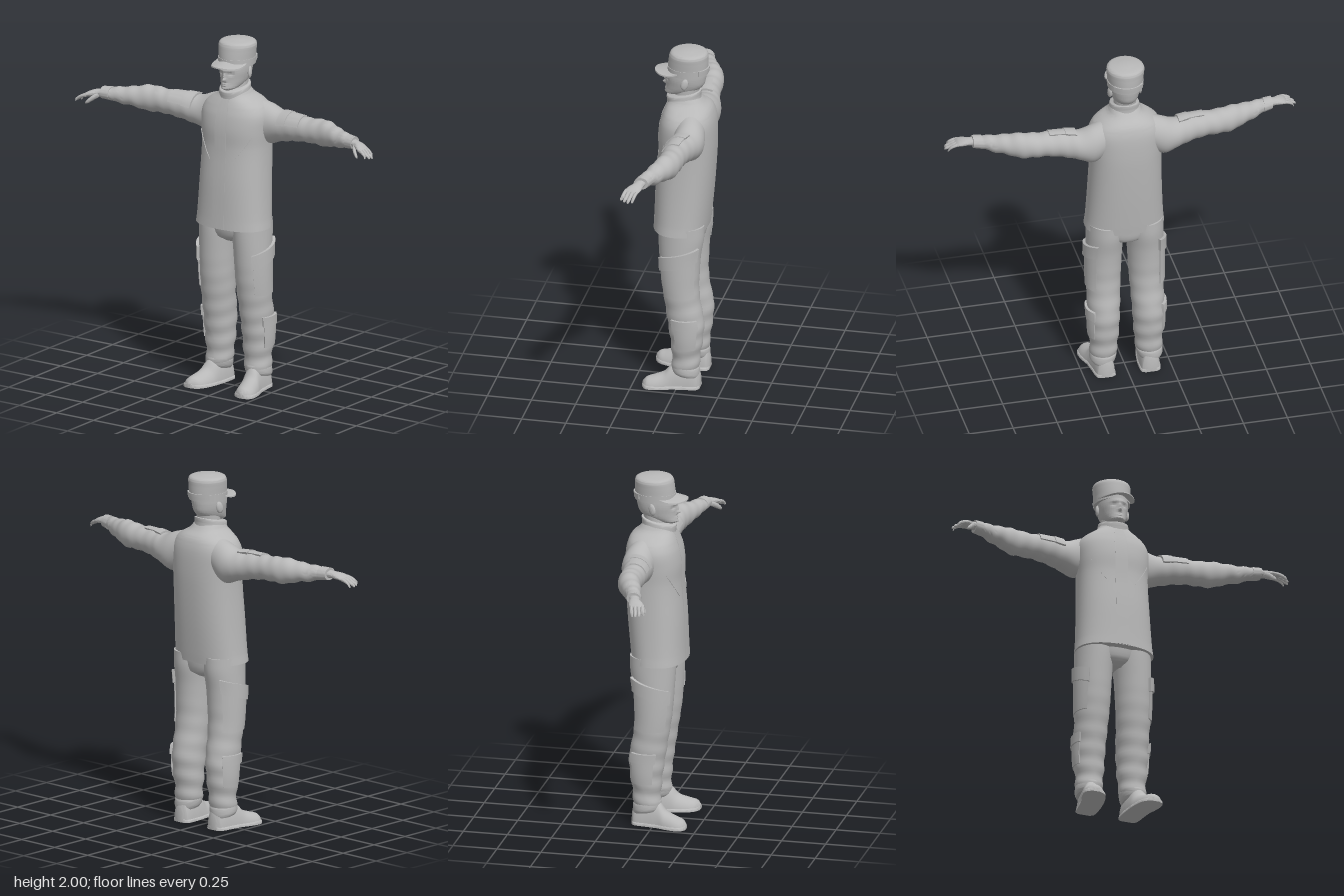
import * as THREE from 'three';
import { toCreasedNormals } from 'three/addons/utils/BufferGeometryUtils.js';

const grey = new THREE.MeshStandardMaterial({ color: 0xb8b8b8, side: THREE.DoubleSide });
grey.name = 'grey';

// Rows are [position along axis, centre 1, centre 2, radius 1, radius 2]; smooth interpolation
function sample(rows, a) {
  let i = 0;
  while (i < rows.length - 2 && a > rows[i + 1][0]) i++;
  const p = rows[i], q = rows[i + 1], o = rows[i - 1] || p, r = rows[i + 2] || q;
  const h = q[0] - p[0], t = Math.min(1, Math.max(0, (a - p[0]) / h));
  return p.map((_, k) => {
    const m0 = (q[k] - o[k]) / (q[0] - o[0]) * h, m1 = (r[k] - p[k]) / (r[0] - p[0]) * h;
    const t2 = t * t, t3 = t2 * t;
    return (2 * t3 - 3 * t2 + 1) * p[k] + (t3 - 2 * t2 + t) * m0 + (3 * t2 - 2 * t3) * q[k] + (t3 - t2) * m1;
  });
}

// Point on a body's surface, raised by off
function pointOn(rows, axis, a, angle, off = 0, e = 1) {
  const s = sample(rows, a), c = Math.cos(angle), d = Math.sin(angle);
  const p = s[1] + (s[3] + off) * Math.sign(c) * Math.abs(c) ** e;
  const q = s[2] + (s[4] + off) * Math.sign(d) * Math.abs(d) ** e;
  if (axis === 'y') return new THREE.Vector3(p, a, q);
  if (axis === 'x') return new THREE.Vector3(a, p, q);
  return new THREE.Vector3(p, q, a);
}

function build(points, index, axis) {
  if (axis !== 'y') for (let i = 0; i < index.length; i += 3) [index[i], index[i + 1]] = [index[i + 1], index[i]];
  const g = new THREE.BufferGeometry().setFromPoints(points);
  g.setIndex(index);
  return g;
}

// Closed body with capped ends
function loft(rows, axis, { e = 1, n = 32, k = 5, warp } = {}) {
  const pts = [], idx = [], stops = [];
  rows.forEach((r, i) => {
    if (i) for (let j = 1; j <= k; j++) stops.push(rows[i - 1][0] + (r[0] - rows[i - 1][0]) * j / k);
    else stops.push(r[0]);
  });
  for (const a of stops) for (let j = 0; j < n; j++) pts.push(pointOn(rows, axis, a, j / n * Math.PI * 2, 0, e));
  const last = (stops.length - 1) * n;
  for (let i = 0; i < last; i += n) for (let j = 0; j < n; j++) {
    const b = i + j, c = i + (j + 1) % n;
    idx.push(b, b + n, c, c, b + n, c + n);
  }
  for (const start of [0, last]) {
    const mid = new THREE.Vector3();
    for (let j = 0; j < n; j++) mid.addScaledVector(pts[start + j], 1 / n);
    const m = pts.push(mid) - 1;
    for (let j = 0; j < n; j++) {
      const b = start + j, c = start + (j + 1) % n;
      start ? idx.push(b, m, c) : idx.push(b, c, m);
    }
  }
  if (warp) pts.forEach(warp);
  return build(pts, idx, axis);
}

// Raised panel wrapped on a body, with its rim sunk into the surface
function patch(rows, axis, a0, a1, t0, t1, off, { slant = 0, e = 1 } = {}) {
  const steps = [0, 0, 0.1, 0.2, 0.3, 0.4, 0.5, 0.6, 0.7, 0.8, 0.9, 1, 1], n = steps.length, pts = [], idx = [];
  steps.forEach((u, i) => steps.forEach((v, j) => {
    const rim = i === 0 || j === 0 || i === n - 1 || j === n - 1;
    pts.push(pointOn(rows, axis, a0 + (a1 - a0) * u + slant * (v - 0.5), t0 + (t1 - t0) * v, rim ? -0.004 : off, e));
    if (i && j) {
      const d = i * n + j, b = d - n - 1;
      idx.push(b, d - 1, b + 1, b + 1, d - 1, d);
    }
  }));
  return build(pts, idx, axis);
}

const torso = [[0.94, 0, 0.005, 0.224, 0.152], [1, 0, 0, 0.217, 0.154], [1.2, 0, -0.013, 0.206, 0.16],
  [1.4, 0, -0.027, 0.2, 0.159], [1.5, 0, -0.027, 0.205, 0.16], [1.58, 0, -0.03, 0.205, 0.152],
  [1.63, 0, -0.032, 0.183, 0.138], [1.66, 0, -0.03, 0.148, 0.124], [1.69, 0, -0.02, 0.1, 0.1], [1.72, 0, -0.015, 0.08, 0.08]];
const sleeve = [[0.12, 1.56, -0.06, 0.105, 0.09], [0.2, 1.53, -0.075, 0.112, 0.088], [0.27, 1.528, -0.07, 0.087, 0.085],
  [0.35, 1.538, -0.055, 0.078, 0.075], [0.45, 1.545, -0.045, 0.07, 0.068], [0.53, 1.548, -0.043, 0.071, 0.066],
  [0.6, 1.55, -0.033, 0.074, 0.064], [0.68, 1.553, -0.005, 0.056, 0.058], [0.75, 1.553, 0.02, 0.047, 0.048],
  [0.8, 1.558, 0.04, 0.036, 0.042], [0.84, 1.56, 0.05, 0.033, 0.039]];
const leg = [[0.1, 0.135, -0.043, 0.065, 0.072], [0.13, 0.13, -0.042, 0.073, 0.076], [0.2, 0.127, -0.045, 0.079, 0.08],
  [0.3, 0.128, -0.047, 0.087, 0.092], [0.4, 0.126, -0.042, 0.09, 0.102], [0.5, 0.124, -0.025, 0.093, 0.1],
  [0.6, 0.122, -0.012, 0.097, 0.103], [0.7, 0.12, -0.008, 0.1, 0.11], [0.8, 0.117, -0.008, 0.102, 0.117],
  [0.9, 0.112, -0.013, 0.105, 0.128], [0.98, 0.11, -0.013, 0.105, 0.13]];
const boot = [[-0.125, 0.127, 0, 0.03, 0.08], [-0.11, 0.127, 0, 0.05, 0.13], [-0.03, 0.132, 0, 0.058, 0.15],
  [0.03, 0.14, 0, 0.06, 0.135], [0.07, 0.15, 0, 0.064, 0.09], [0.13, 0.165, 0, 0.063, 0.065],
  [0.17, 0.173, 0, 0.048, 0.052], [0.19, 0.176, 0, 0.018, 0.03]];
const head = [[1.725, 0, 0.06, 0.02, 0.025], [1.735, 0, 0.047, 0.042, 0.052], [1.76, 0, 0.008, 0.062, 0.088],
  [1.79, 0, -0.01, 0.073, 0.105], [1.83, 0, -0.015, 0.081, 0.113], [1.88, 0, -0.02, 0.083, 0.115]];
const cap = [[1.865, 0, -0.025, 0.097, 0.112], [1.9, 0, -0.027, 0.099, 0.113], [1.95, 0, -0.03, 0.104, 0.11],
  [1.975, 0, -0.032, 0.104, 0.106], [1.99, 0, -0.032, 0.088, 0.09], [2, 0, -0.032, 0.03, 0.03]];

// Facial relief: [x, y, spread x, spread y, push forward]
const relief = [[0, 1.788, 0.01, 0.01, 0.02], [0, 1.81, 0.008, 0.018, 0.012], [0, 1.755, 0.02, 0.005, 0.008],
  [0, 1.764, 0.02, 0.004, 0.006], [0, 1.737, 0.02, 0.008, 0.006], [0, 1.842, 0.04, 0.008, 0.006],
  [0.032, 1.822, 0.014, 0.01, -0.009], [-0.032, 1.822, 0.014, 0.01, -0.009]];
function sculptFace(p) {
  if (p.z < 0.03) return;
  const { x, y } = p;
  for (const [cx, cy, sx, sy, push] of relief) p.z += push * Math.exp(-(((x - cx) / sx) ** 2) - ((y - cy) / sy) ** 2);
}

export function createModel() {
  const model = new THREE.Group();
  const add = (name, geo) => {
    const mesh = new THREE.Mesh(toCreasedNormals(geo, 0.8), grey);
    mesh.name = name;
    model.add(mesh);
  };
  const addPair = (name, geo) => {
    add(name + 'Left', geo);
    const m = geo.clone().scale(-1, 1, 1), ix = m.index.array;
    for (let i = 0; i < ix.length; i += 3) [ix[i], ix[i + 1]] = [ix[i + 1], ix[i]];
    add(name + 'Right', m);
  };

  // Jacket
  const e = 0.85;
  add('jacket', loft(torso, 'y', { e, n: 48 }));
  add('jacketPlacket', patch(torso, 'y', 0.942, 1.69, 1.45, 1.72, 0.003, { e }));
  addPair('chestPocketEdge', patch(torso, 'y', 1.395, 1.405, 0.64, 1.23, 0.003, { slant: -0.14, e }));
  add('collar', loft([[1.665, 0, -0.01, 0.1, 0.098], [1.7, 0, -0.005, 0.086, 0.095], [1.735, 0, -0.005, 0.08, 0.098],
    [1.738, 0, -0.005, 0.072, 0.09]], 'y', { warp: p => { p.y -= 0.22 * p.z * (p.y > 1.69 ? 1 : 0.4); } }));

  // Sleeves with gentle creases, pockets and cuffs
  addPair('sleeve', loft(sleeve, 'x', {
    warp: p => { if (p.x > 0.3) p.y += 0.003 * Math.sin(p.x * 75 + p.z * 20); },
  }));
  addPair('sleevePocket', patch(sleeve, 'x', 0.31, 0.44, -0.35, 1.25, 0.008));
  addPair('sleevePocketFlap', patch(sleeve, 'x', 0.29, 0.35, -0.4, 1.3, 0.012));
  addPair('cuff', loft([[0.8, 1.558, 0.04, 0.039, 0.044], [0.85, 1.56, 0.052, 0.035, 0.041]], 'x'));

  // Hands
  addPair('palm', loft([[0.83, 1.56, 0.052, 0.024, 0.032], [0.87, 1.558, 0.062, 0.02, 0.03], [0.9, 1.553, 0.075, 0.019, 0.04],
    [0.93, 1.545, 0.086, 0.014, 0.042], [0.942, 1.54, 0.09, 0.008, 0.036]], 'x'));
  [0.985, 1, 0.995, 0.98].forEach((tip, i) => {
    const z = 0.055 + 0.021 * i, y = 1.502 + 0.003 * i, r = i ? 0.0105 : 0.009;
    addPair('finger' + (i + 1), loft([[0.92, 1.547, z, r, r], [0.95, 1.537, z + 0.007, r, r],
      [0.975, 1.52, z + 0.014, r * 0.9, r * 0.9], [tip - 0.004, y + 0.004, z + 0.018, r * 0.7, r * 0.7],
      [tip, y, z + 0.019, 0.002, 0.002]], 'x', { n: 12, k: 3 }));
  });
  addPair('thumb', loft([[0.86, 1.55, 0.075, 0.014, 0.014], [0.88, 1.537, 0.1, 0.016, 0.015],
    [0.9, 1.52, 0.118, 0.014, 0.012], [0.915, 1.508, 0.127, 0.009, 0.008], [0.92, 1.503, 0.129, 0.002, 0.002]], 'x', { n: 12, k: 3 }));

  // Trousers with cargo pockets
  add('trouserSeat', loft([[0.85, 0, -0.013, 0.07, 0.07], [0.88, 0, -0.013, 0.15, 0.11], [0.97, 0, -0.01, 0.2, 0.128]], 'y'));
  addPair('trouserLeg', loft(leg, 'y', {
    warp: p => {
      const s = 0.004 * Math.sin(p.y * 60 + p.z * 12) * Math.max(0, 1 - p.y * 1.3);
      p.x += s * Math.sign(p.x - 0.127);
      p.z += s * Math.sign(p.z + 0.04);
    },
  }));
  addPair('trouserHem', loft([[0.085, 0.135, -0.045, 0.064, 0.072], [0.1, 0.134, -0.043, 0.073, 0.078],
    [0.135, 0.13, -0.042, 0.076, 0.079], [0.15, 0.13, -0.042, 0.07, 0.072]], 'y', { warp: p => { p.y += 0.15 * p.z; } }));
  addPair('thighPocket', patch(leg, 'y', 0.56, 0.8, -0.95, 0.9, 0.007));
  addPair('thighPocketFlap', patch(leg, 'y', 0.75, 0.83, -1, 0.98, 0.016, { slant: -0.07 }));
  addPair('calfPocket', patch(leg, 'y', 0.25, 0.41, -0.75, 0.55, 0.007));
  addPair('calfPocketFlap', patch(leg, 'y', 0.375, 0.43, -0.8, 0.6, 0.014));

  // Boots and soles, flat on the ground
  const ground = p => { p.y = Math.max(0, p.y); };
  addPair('boot', loft(boot, 'z', { warp: ground }));
  addPair('bootSole', loft(boot.map(([z, x, y, rx]) => [z, x, y, rx + 0.004, 0.022]), 'z', { e: 0.4, warp: ground }));

  // Head and ears
  add('neck', loft([[1.66, 0, -0.015, 0.07, 0.07], [1.72, 0, -0.018, 0.063, 0.068], [1.8, 0, -0.03, 0.063, 0.07]], 'y'));
  add('head', loft(head, 'y', { n: 96, k: 12, warp: sculptFace }));
  const ear = new THREE.SphereGeometry(1, 16, 12).scale(0.011, 0.034, 0.021).rotateX(-0.2).rotateY(0.35).translate(0.086, 1.818, -0.025);
  addPair('ear', ear);

  // Cap with band, curved brim and rear strap
  add('cap', loft(cap, 'y', { n: 48 }));
  add('capBand', loft([[1.86, 0, -0.025, 0.1, 0.115], [1.9, 0, -0.027, 0.102, 0.116]], 'y', { n: 48 }));
  add('capBrim', loft([[1.905, 0, 0.045, 0.098, 0.115], [1.912, 0, 0.045, 0.097, 0.114]], 'y', {
    n: 48, warp: p => { p.y -= 0.25 * Math.max(0, p.z) + 3 * p.x * p.x; if (p.z < 0) p.z = 0; },
  }));
  add('capStrap', patch(cap, 'y', 1.872, 1.903, Math.PI * 1.22, Math.PI * 1.78, 0.008));
  return model;
}
